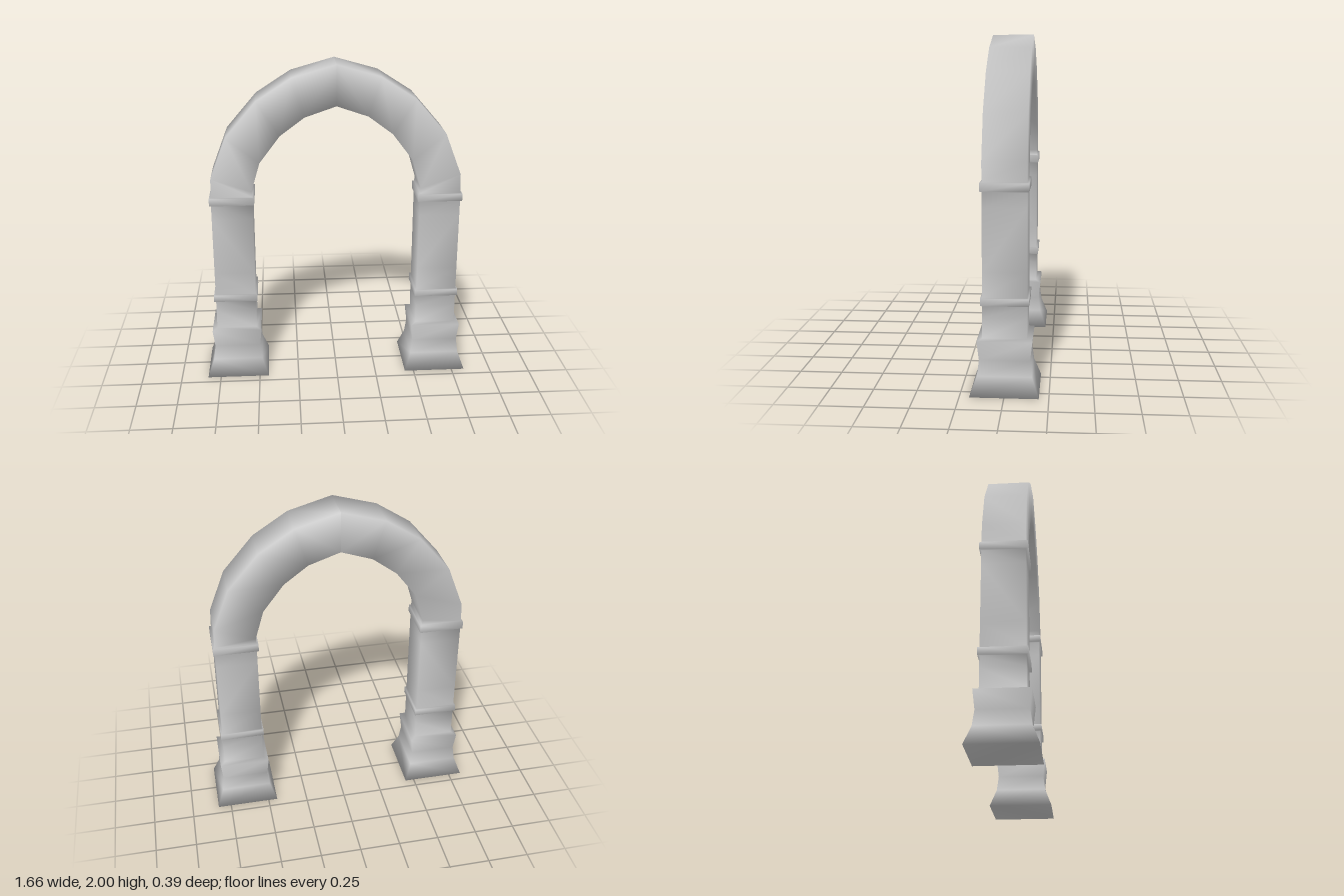
import * as THREE from 'three';

const CX = 0.6375; // centre line of each leg

// Square ring round the leg: [inner x, inner y, outer x, outer y, half depth]
const ring = (y, half) => [CX - half, y, CX + half, y, half];

// Sections run from the floor to the crown; neighbours share their edge ring
const sections = [
  ['base', [ring(0, 0.194), ring(0.11, 0.154), ring(0.2, 0.143), ring(0.31, 0.155), ring(0.322, 0.125)]],
  ['lowerShaft', [ring(0.44, 0.125), ring(0.508, 0.125)]],
  ['lowerBand', [ring(0.51, 0.136), ring(0.552, 0.136), ring(0.556, 0.125)]],
  ['shaft', [ring(0.7, 0.125), ring(1.06, 0.125), ring(1.148, 0.125)]],
  ['upperBand', [ring(1.152, 0.136), ring(1.198, 0.136), ring(1.202, 0.125)]],
  ['arch', [
    [0.515, 1.235, 0.758, 1.32, 0.125],
    [0.462, 1.415, 0.66, 1.575, 0.125],
    [0.337, 1.58, 0.475, 1.79, 0.125],
    [0.19, 1.69, 0.265, 1.925, 0.125],
    [0, 1.755, 0, 2, 0.125],
  ]],
];

// One half of the arch; side is +1 or -1
function createHalf(side) {
  const half = new THREE.Group();
  half.name = side > 0 ? 'leftHalf' : 'rightHalf';
  const position = [];
  const index = [];
  const parts = [];
  const tri = (a, b, c) => (side > 0 ? index.push(a, b, c) : index.push(a, c, b));

  let row = 0;
  for (const [name, rings] of sections) {
    const start = index.length;
    for (const [xi, yi, xo, yo, h] of rings) {
      position.push(side * xo, yo, h, side * xo, yo, -h, side * xi, yi, -h, side * xi, yi, h);
      if (row === 0) { // underside
        tri(0, 2, 1);
        tri(0, 3, 2);
      } else {
        for (let k = 0; k < 4; k++) {
          const a = (row - 1) * 4 + k;
          const b = (row - 1) * 4 + (k + 1) % 4;
          tri(a, b, b + 4);
          tri(a, b + 4, a + 4);
        }
      }
      row++;
    }
    parts.push([name, start, index.length]);
  }

  // Smooth normals over the whole half, then split into named parts
  const whole = new THREE.BufferGeometry();
  whole.setAttribute('position', new THREE.Float32BufferAttribute(position, 3));
  whole.setIndex(index);
  whole.computeVertexNormals();
  const material = new THREE.MeshStandardMaterial({ color: 0xcccccc, side: THREE.DoubleSide });
  for (const [name, start, end] of parts) {
    const mesh = new THREE.Mesh(whole.clone().setIndex(index.slice(start, end)).toNonIndexed(), material);
    mesh.name = name;
    half.add(mesh);
  }
  return half;
}

export function createModel() {
  const group = new THREE.Group();
  group.name = 'archway';
  for (const side of [1, -1]) group.add(createHalf(side));
  return group;
}
